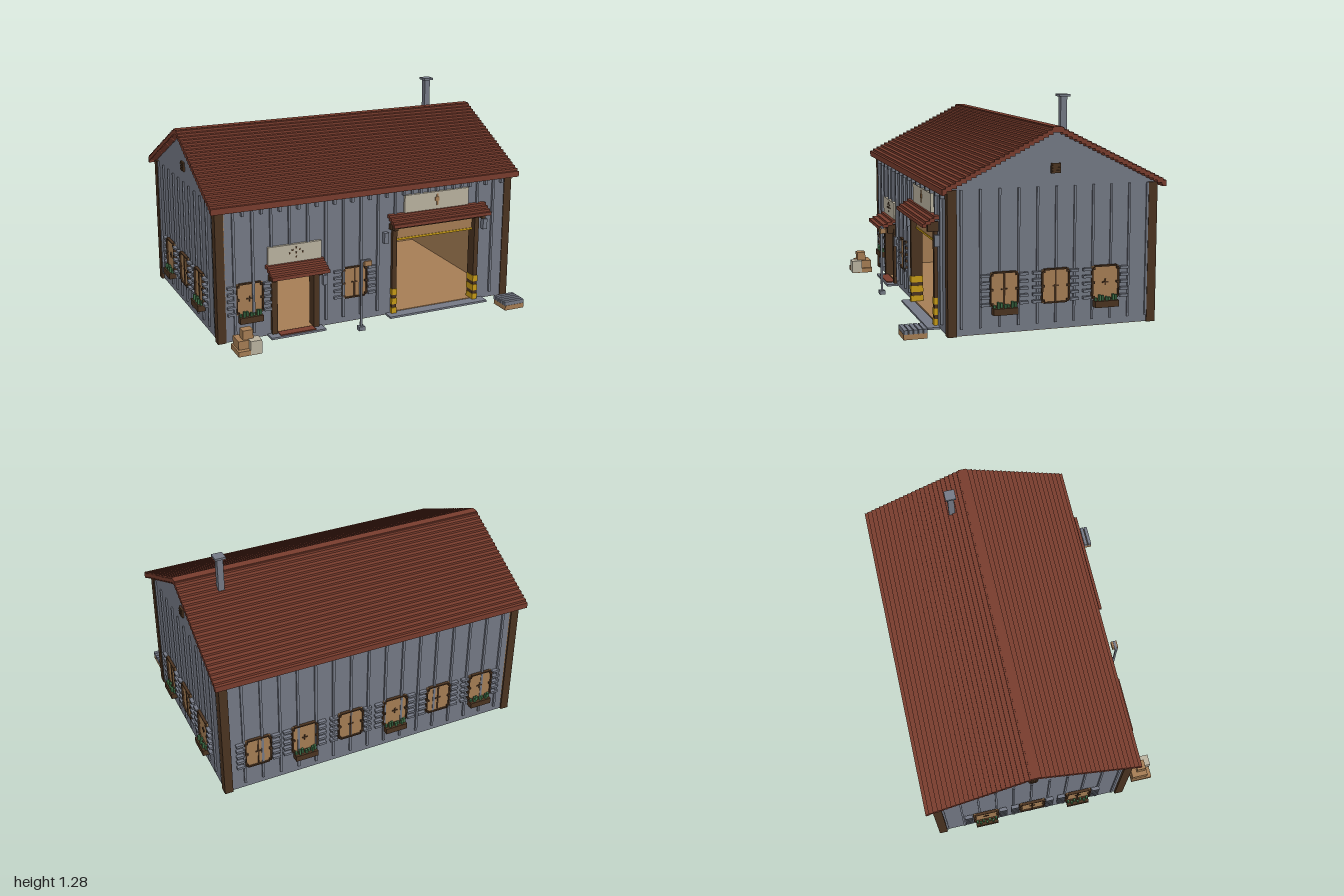
import * as THREE from 'three';

const mat = (name, color) => Object.assign(new THREE.MeshStandardMaterial({ color }), { name });
const M = {
  wall: mat('slateGrey', 0x747985), roof: mat('roofRed', 0x783c2d), dark: mat('darkTimber', 0x4a3320),
  tan: mat('tanTimber', 0xa57d54), cream: mat('creamBoard', 0xbab29f), yellow: mat('safetyYellow', 0xc69a16),
  green: mat('leafGreen', 0x3f7048), red: mat('flowerRed', 0xa2402f),
};

// Box given by its lower and upper corners.
function box(parent, name, m, x0, x1, y0, y1, z0, z1) {
  const mesh = new THREE.Mesh(new THREE.BoxGeometry(x1 - x0, y1 - y0, z1 - z0), m);
  mesh.position.set((x0 + x1) / 2, (y0 + y1) / 2, (z0 + z1) / 2);
  mesh.name = name;
  parent.add(mesh);
}

function group(parent, name) {
  const g = new THREE.Group();
  g.name = name;
  parent.add(g);
  return g;
}

function slab(parent, name, m, points, depth) {
  const shape = new THREE.Shape(points.map(([x, y]) => new THREE.Vector2(x, y)));
  const mesh = new THREE.Mesh(new THREE.ExtrudeGeometry(shape, { depth, bevelEnabled: false }), m);
  mesh.name = name;
  parent.add(mesh);
  return mesh;
}

// Window facing +z, with slatted shutters and an optional flower box.
function makeWindow(parent, planter, doubleSash) {
  const g = group(parent, 'window');
  const w = 0.078, y0 = 0.157, y1 = 0.343;
  box(g, 'windowPane', M.tan, -w, w, y0, y1, 0, 0.009);
  for (const s of [-1, 1]) {
    box(g, 'windowJamb', M.dark, s * w - 0.004, s * w + 0.004, y0 + 0.014, y1 - 0.014, 0, 0.018);
    for (const y of [y0 + 0.012, 0.25, y1 - 0.012])
      box(g, 'frameStud', M.dark, s * (w - 0.008) - 0.006, s * (w - 0.008) + 0.006, y - 0.006, y + 0.006, 0, 0.02);
    for (let i = 0; i < 5; i++) {
      const y = 0.161 + i * 0.04;
      box(g, 'shutterSlat', M.wall, s * 0.11 - 0.024, s * 0.11 + 0.024, y, y + 0.015, 0, 0.022);
    }
  }
  for (const y of [y0, y1]) box(g, 'windowRail', M.dark, -w + 0.012, w - 0.012, y - 0.004, y + 0.004, 0, 0.018);
  if (doubleSash) box(g, 'windowMullion', M.dark, -0.004, 0.004, y0, y1, 0, 0.014);
  box(g, 'windowCrossbar', M.dark, -0.018, 0.018, 0.246, 0.254, 0, 0.013);
  box(g, 'windowCrossPost', M.dark, -0.004, 0.004, 0.232, 0.268, 0, 0.013);
  if (planter) {
    box(g, 'flowerBox', M.dark, -0.07, 0.07, 0.113, 0.15, 0, 0.045);
    for (let i = 0; i < 7; i++) {
      const x = -0.06 + i * 0.02, h = 0.165 + (i * 3 % 4) * 0.006;
      box(g, 'plant', M.green, x - 0.006, x + 0.006, 0.15, h, 0.012 + (i % 2) * 0.01, 0.028 + (i % 2) * 0.01);
    }
  }
  return g;
}

// Small sloping porch roof of stepped boards.
function canopy(parent, x0, x1, yTop, zOut) {
  const g = group(parent, 'canopy');
  for (let i = 0; i < 4; i++) {
    const z = 0.505 + (zOut - 0.505) * i / 4;
    box(g, 'canopyBoard', M.roof, x0, x1, yTop - 0.02 - i * 0.014, yTop - i * 0.014, z, z + (zOut - 0.505) / 4 + (i < 3 ? 0.006 : 0));
  }
  for (const x of [x0 + 0.02, x1 - 0.045])
    box(g, 'canopyBracket', M.dark, x, x + 0.025, yTop - 0.09, yTop - 0.035, 0.505, 0.565);
}

export function createModel() {
  const root = new THREE.Group();
  root.name = 'workshop';

  // Walls, inner linings and floor
  const b = 0.003;
  const front = [[-0.94, b], [-0.61, b], [-0.61, 0.345], [-0.365, 0.345], [-0.365, b], [0.15, b], [0.15, 0.55],
    [0.705, 0.55], [0.705, b], [0.94, b], [0.94, 0.8], [-0.94, 0.8]];
  slab(root, 'frontWall', M.wall, front, 0.02).position.z = 0.485;
  slab(root, 'frontLining', M.tan, front, 0.02).position.z = 0.465;
  box(root, 'backWall', M.wall, -0.94, 0.94, b, 0.79, -0.695, -0.675);
  box(root, 'backLining', M.tan, -0.92, 0.92, b, 0.79, -0.675, -0.655);
  const gable = [[-0.505, b], [0.695, b], [0.695, 0.8], [0.1, 1.108], [-0.505, 0.795]];
  for (const [name, m, x] of [['rightGable', M.wall, 0.925], ['rightLining', M.tan, 0.905],
    ['leftGable', M.wall, -0.945], ['leftLining', M.tan, -0.925]]) {
    const w = slab(root, name, m, gable, 0.02);
    w.rotation.y = Math.PI / 2;
    w.position.x = x;
  }
  box(root, 'floor', M.tan, -0.94, 0.94, 0, 0.014, -0.69, 0.5);

  // Corner posts
  for (const x of [-0.935, 0.93]) for (const z of [0.484, -0.68])
    box(root, 'cornerPost', M.dark, x - 0.025, x + 0.025, 0, 0.8, z - 0.026, z + 0.026);

  // Battens
  const battens = group(root, 'battens');
  for (let i = 0; i < 16; i++) {
    const x = -0.855 + i * 0.112;
    const bottom = x > -0.65 && x < -0.33 ? 0.44 : x > 0.12 && x < 0.74 ? 0.63 : 0.04;
    box(battens, 'frontBatten', M.wall, x - 0.007, x + 0.007, bottom, 0.79, 0.5, 0.519);
    box(battens, 'backBatten', M.wall, x - 0.007, x + 0.007, 0.04, 0.78, -0.707, -0.69);
    box(battens, 'rafterTail', M.wall, x + 0.045, x + 0.06, 0.745, 0.785, 0.5, 0.53);
  }
  for (let i = 0; i < 11; i++) {
    const z = 0.433 - i * 0.108;
    for (const s of [-1, 1])
      box(battens, 'gableBatten', M.wall, s * 0.945 - 0.01, s * 0.945 + 0.01, 0.04, 0.8, z - 0.006, z + 0.006);
  }

  // Stepped plank roof
  const roof = group(root, 'roof');
  const rows = 24, step = 0.645 / rows;
  for (let i = 0; i < rows; i++) for (const s of [-1, 1]) {
    const inner = -0.1 + s * i * step, outer = inner + s * (step + (i < rows - 1 ? 0.008 : 0));
    const top = 1.12 - i * 0.0134;
    box(roof, 'roofPlank', M.roof, -0.99, 0.985, top - 0.026, top, Math.min(inner, outer), Math.max(inner, outer));
  }
  box(roof, 'ridgeCap', M.roof, -0.99, 0.985, 1.1, 1.125, -0.125, -0.075);
  box(roof, 'frontFascia', M.roof, -0.99, 0.985, 0.777, 0.805, 0.53, 0.545);
  box(roof, 'backFascia', M.roof, -0.99, 0.985, 0.777, 0.805, -0.745, -0.725);

  // Chimney and gable vents
  box(root, 'chimney', M.wall, 0.727, 0.763, 1.0, 1.275, -0.235, -0.197);
  box(root, 'chimneyCap', M.wall, 0.714, 0.778, 1.272, 1.285, -0.248, -0.184);
  for (const s of [-1, 1]) {
    box(root, 'gableVent', M.dark, s * 0.948 - 0.008, s * 0.948 + 0.008, 0.87, 0.925, -0.127, -0.073);
    for (let i = 0; i < 3; i++)
      box(root, 'ventSlat', M.dark, s * 0.953 - 0.008, s * 0.953 + 0.008, 0.878 + i * 0.016, 0.886 + i * 0.016, -0.12, -0.08);
  }

  // Windows
  const place = (x, z, turn, planter, dbl) => {
    const w = makeWindow(root, planter, dbl);
    w.position.set(x, 0, z);
    w.rotation.y = turn;
  };
  place(-0.765, 0.5, 0, true, false);
  place(-0.11, 0.5, 0, false, true);
  [0.74, 0.45, 0.155, -0.14, -0.435, -0.73].forEach((x, i) => place(x, -0.695, Math.PI, i % 2 === 1, i % 2 === 0));
  [0.195, -0.1, -0.395].forEach((z, i) => {
    for (const s of [-1, 1]) place(s * 0.953, z, s * Math.PI / 2, i !== 1, i < 2);
  });

  // Shop door
  const door = group(root, 'shopDoor');
  for (const x of [-0.637, -0.376]) box(door, 'doorPost', M.dark, x, x + 0.035, 0, 0.37, 0.455, 0.525);
  box(door, 'doorLintel', M.dark, -0.65, -0.33, 0.338, 0.372, 0.455, 0.525);
  box(door, 'doorSign', M.cream, -0.655, -0.326, 0.425, 0.54, 0.5, 0.523);
  for (const [x, y] of [[0, 0.025], [0.022, 0.012], [-0.022, 0.012], [0.04, -0.005], [-0.04, -0.005], [0, -0.005], [0, -0.03]])
    box(door, 'signStud', M.dark, x - 0.489, x - 0.48, y + 0.49, y + 0.499, 0.52, 0.527);
  canopy(door, -0.667, -0.315, 0.435, 0.622);
  box(door, 'doorStep', M.wall, -0.66, -0.32, 0, 0.012, 0.505, 0.575);
  box(door, 'doorMat', M.roof, -0.6, -0.38, 0.012, 0.018, 0.51, 0.565);
  box(door, 'doorLamp', M.wall, -0.317, -0.29, 0.265, 0.325, 0.505, 0.53);

  // Garage bay
  const bay = group(root, 'garageBay');
  for (const x of [0.132, 0.695]) {
    box(bay, 'bayPost', M.dark, x, x + 0.03, 0, 0.575, 0.455, 0.525);
    for (let i = 0; i < 3; i++)
      box(bay, 'hazardBand', M.yellow, x - 0.002, x + 0.032, 0.01 + i * 0.06, 0.048 + i * 0.06, 0.453, 0.529);
  }
  box(bay, 'bayLintel', M.dark, 0.115, 0.745, 0.545, 0.578, 0.455, 0.535);
  box(bay, 'rolledDoor', M.tan, 0.16, 0.695, 0.47, 0.548, 0.47, 0.49);
  box(bay, 'rolledDoorEdge', M.yellow, 0.16, 0.695, 0.46, 0.472, 0.468, 0.494);
  box(bay, 'baySign', M.cream, 0.212, 0.645, 0.625, 0.742, 0.5, 0.523);
  box(bay, 'signBlock', M.tan, 0.412, 0.442, 0.685, 0.71, 0.52, 0.528);
  box(bay, 'signBar', M.tan, 0.424, 0.434, 0.66, 0.73, 0.52, 0.527);
  canopy(bay, 0.105, 0.765, 0.635, 0.6);
  box(bay, 'bayApron', M.wall, 0.1, 0.77, 0, 0.012, 0.505, 0.575);
  for (const x of [0.088, 0.764]) box(bay, 'bayLamp', M.wall, x - 0.014, x + 0.014, 0.465, 0.53, 0.505, 0.535);

  // Work bench and stored crates along the back of the bay
  const inside = group(root, 'interior');
  box(inside, 'benchTop', M.wall, 0.165, 0.42, 0.115, 0.145, -0.64, -0.5);
  for (const x of [0.17, 0.25, 0.32, 0.395]) box(inside, 'benchLeg', M.wall, x, x + 0.015, 0.014, 0.115, -0.64, -0.625);
  box(inside, 'benchBox', M.cream, 0.32, 0.4, 0.145, 0.212, -0.6, -0.54);
  box(inside, 'toolCan', M.yellow, 0.39, 0.415, 0.15, 0.22, -0.53, -0.505);
  box(inside, 'benchVice', M.wall, 0.175, 0.245, 0.145, 0.195, -0.6, -0.54);
  for (let i = 0; i < 3; i++)
    box(inside, 'storedCrate', M.tan, 0.51 + i * 0.04, 0.66, 0.014 + i * 0.04, 0.054 + i * 0.04, -0.64, -0.5 - i * 0.03);
  box(inside, 'wallPanel', M.tan, 0.375, 0.525, 0.16, 0.34, -0.66, -0.645);
  box(inside, 'panelCrossbar', M.dark, 0.432, 0.468, 0.247, 0.255, -0.65, -0.64);
  box(inside, 'panelCrossPost', M.dark, 0.446, 0.454, 0.233, 0.269, -0.65, -0.64);

  // Shop counter and shelf at the back
  box(inside, 'counterTop', M.wall, -0.6, -0.47, 0.13, 0.148, -0.64, -0.52);
  box(inside, 'counterBase', M.tan, -0.59, -0.42, 0.014, 0.12, -0.64, -0.54);
  box(inside, 'counterBox', M.cream, -0.575, -0.488, 0.148, 0.21, -0.6, -0.54);
  box(inside, 'shelf', M.dark, -0.6, -0.43, 0.285, 0.31, -0.655, -0.57);
  box(inside, 'lowerShelf', M.dark, -0.6, -0.43, 0.215, 0.225, -0.655, -0.59);
  [M.red, M.wall, M.green, M.wall, M.yellow].forEach((m, i) =>
    box(inside, 'shelfItem', m, -0.59 + i * 0.029, -0.57 + i * 0.029, 0.225, 0.25 + (i % 2) * 0.01, -0.64, -0.6));
  box(inside, 'oilCan', M.yellow, -0.478, -0.458, 0.15, 0.2, -0.6, -0.57);

  // Stacked crates
  const crates = group(root, 'crateStack');
  box(crates, 'crateBase', M.tan, -0.91, -0.775, 0, 0.03, 0.585, 0.718);
  box(crates, 'middleCrate', M.tan, -0.9, -0.79, 0.03, 0.08, 0.59, 0.69);
  box(crates, 'topCrate', M.tan, -0.87, -0.81, 0.08, 0.135, 0.625, 0.68);
  box(crates, 'paleCrate', M.cream, -0.84, -0.773, 0.005, 0.083, 0.655, 0.722);

  // Pallet
  const pallet = group(root, 'pallet');
  box(pallet, 'palletDeck', M.tan, 0.797, 0.928, 0, 0.03, 0.617, 0.746);
  for (let i = 0; i < 5; i++) box(pallet, 'palletSlat', M.wall, 0.795, 0.93, 0.03, 0.053, 0.615 + i * 0.027, 0.636 + i * 0.027);

  // Lamp post
  const lamp = group(root, 'lampPost');
  box(lamp, 'lampFoot', M.wall, -0.15, -0.112, 0, 0.025, 0.63, 0.665);
  box(lamp, 'lampPole', M.wall, -0.137, -0.125, 0.025, 0.42, 0.642, 0.654);
  box(lamp, 'lampArm', M.wall, -0.137, -0.075, 0.42, 0.432, 0.64, 0.656);
  box(lamp, 'lampHead', M.tan, -0.118, -0.072, 0.395, 0.425, 0.628, 0.665);
  return root;
}
